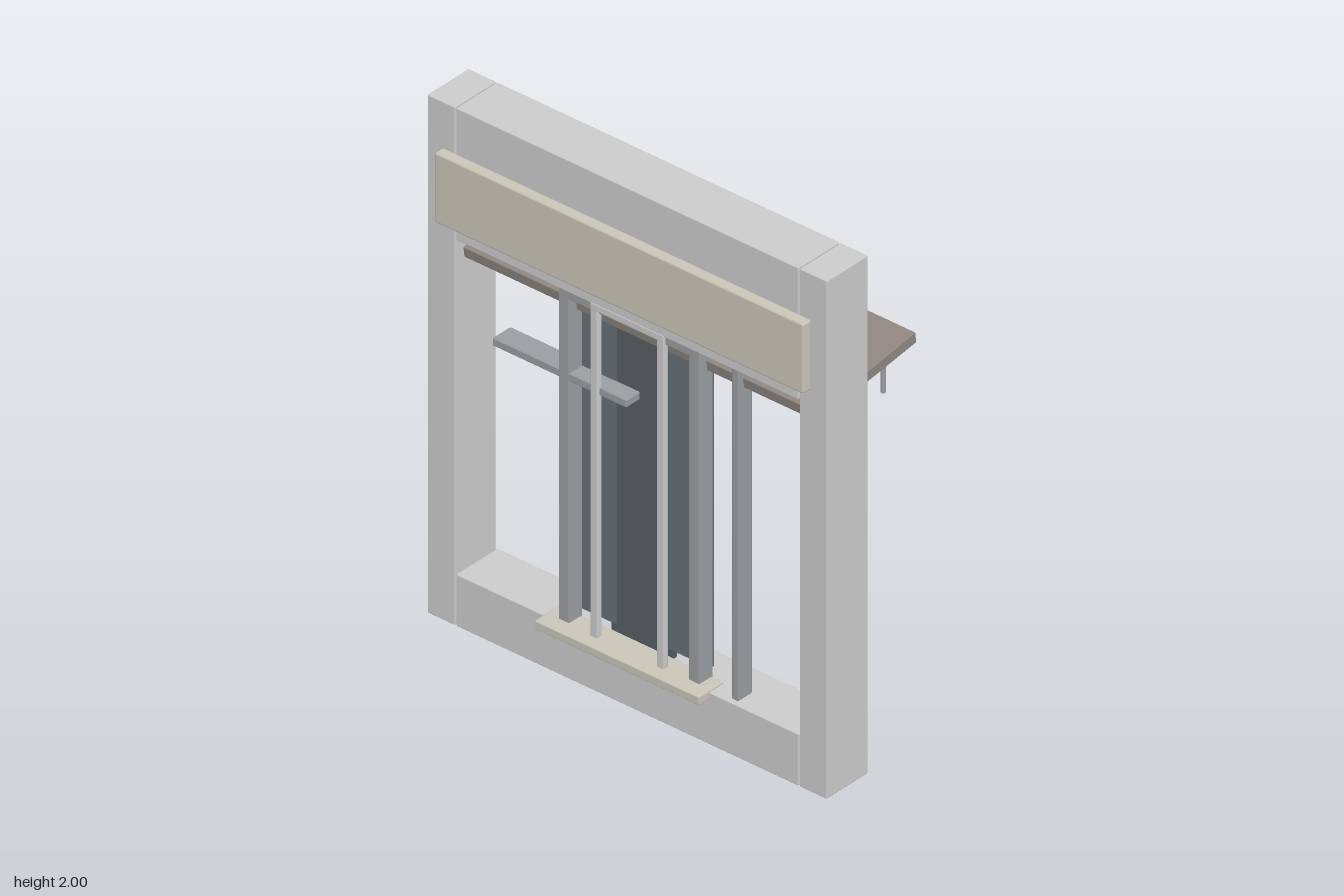
import * as THREE from 'three';
import { RoundedBoxGeometry } from 'three/addons/geometries/RoundedBoxGeometry.js';

const material = (color) => new THREE.MeshStandardMaterial({ color });
const grey = material(0xcccccc);
const cream = material(0xc9c6b8);
const brown = material(0x8f8680);
const metal = material(0x9a9da0);
const slate = material(0x667077);

export function createModel() {
  const model = new THREE.Group();

  // Softly bevelled block given by its extents on each axis
  function block(name, [x0, x1], [y0, y1], [z0, z1], mat, bevel = 0.004) {
    const geometry = new RoundedBoxGeometry(x1 - x0, y1 - y0, z1 - z0, 1, bevel);
    const mesh = new THREE.Mesh(geometry, mat);
    mesh.name = name;
    mesh.position.set((x0 + x1) / 2, (y0 + y1) / 2, (z0 + z1) / 2);
    model.add(mesh);
    return mesh;
  }
  // The same block on either side
  function pair(name, [x0, x1], y, z, mat) {
    block(name + 'Left', [x0, x1], y, z, mat);
    block(name + 'Right', [-x1, -x0], y, z, mat);
  }

  // Surrounding wall frame
  const wall = [0.04, 0.245];
  pair('pillar', [0.738, 0.855], [0, 2], wall, grey);
  block('sill', [-0.733, 0.733], [0, 0.2], wall, grey);
  block('lintel', [-0.733, 0.733], [1.49, 2], wall, grey);

  // Sign board and threshold step
  block('signBoard', [-0.79, 0.79], [1.555, 1.825], [0.243, 0.287], cream, 0.008);
  block('thresholdStep', [-0.352, 0.352], [0.175, 0.207], [0.175, 0.297], cream);

  // Tilted canopy with hanging rods
  const canopy = block('canopy', [-0.775, 0.775], [1.432, 1.474], [-0.295, 0.201], brown);
  canopy.rotation.x = 0.14;
  for (const side of [1, -1]) {
    const rod = new THREE.Mesh(new THREE.CylinderGeometry(0.009, 0.009, 0.22, 12), metal);
    rod.name = side > 0 ? 'canopyRodLeft' : 'canopyRodRight';
    rod.position.set(side * 0.657, 1.35, -0.265);
    model.add(rod);
  }

  // Door panels
  pair('sidePanel', [0.11, 0.292], [0.23, 1.47], [0.148, 0.17], slate);
  block('centrePanel', [-0.135, 0.135], [0.2, 1.47], [0.15, 0.168], material(0x565e63));

  // Outer door frame
  pair('doorJamb', [0.256, 0.302], [0.2, 1.488], [0.168, 0.236], metal);
  block('doorHead', [-0.302, 0.302], [1.455, 1.488], [0.168, 0.236], metal);

  // Inner door frame
  pair('innerStile', [0.127, 0.157], [0.2, 1.49], [0.222, 0.246], grey);
  block('innerHead', [-0.157, 0.157], [1.468, 1.495], [0.222, 0.247], grey);

  // Upright post and horizontal push bar
  block('sidePost', [0.431, 0.459], [0.2, 1.488], [0.155, 0.225], metal);
  block('pushBar', [-0.585, -0.012], [1.14, 1.17], [0.146, 0.235], metal);

  return model;
}
